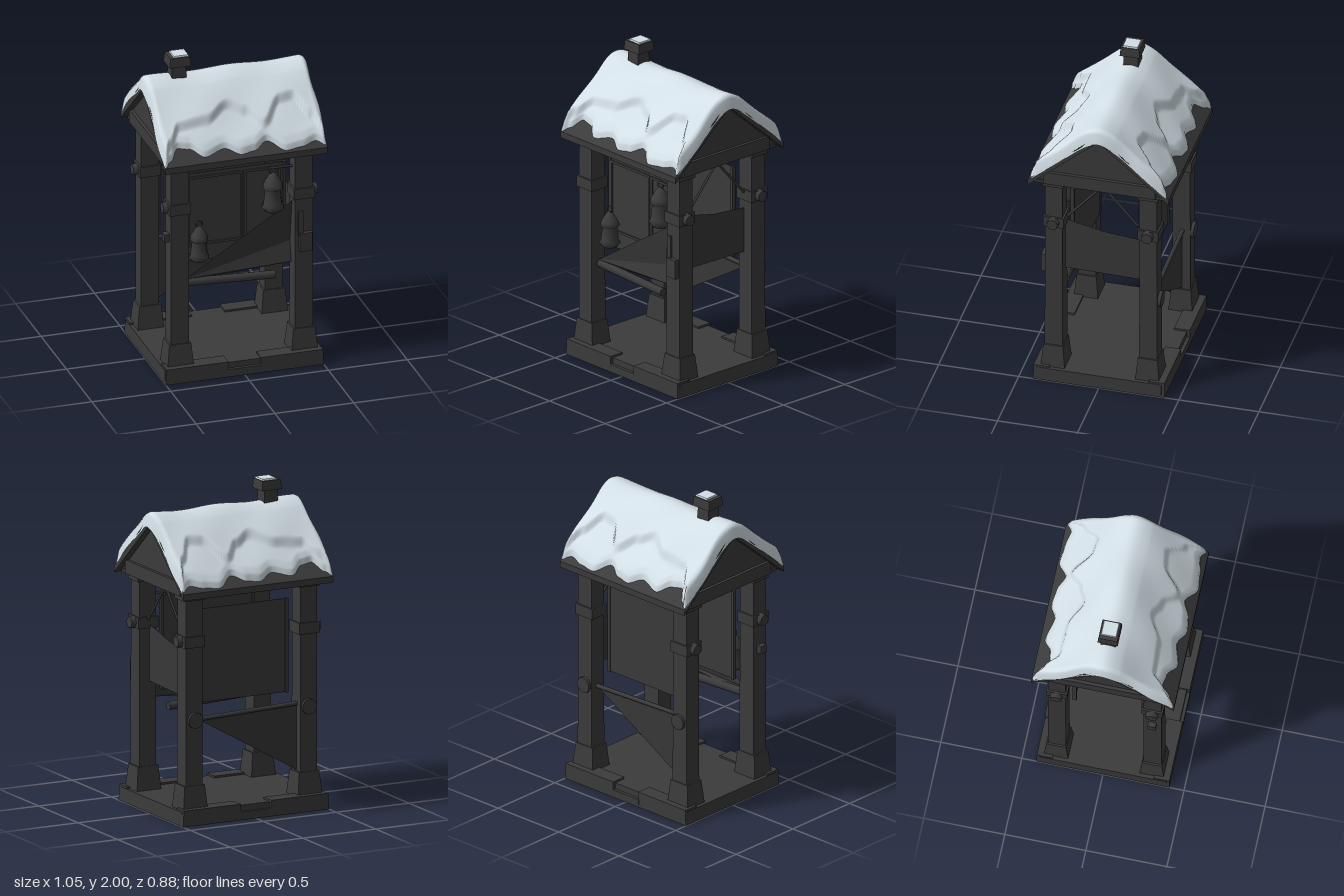
import * as THREE from 'three';

export function createModel() {
  const model = new THREE.Group();
  const wood = new THREE.MeshStandardMaterial({ color: 0x3b3b3b });
  wood.name = 'darkWood';
  const cloth = new THREE.MeshStandardMaterial({ color: 0x383838, side: THREE.DoubleSide });
  cloth.name = 'darkCloth';
  const snow = new THREE.MeshStandardMaterial({ color: 0xd3dfe6, side: THREE.DoubleSide });
  snow.name = 'snow';

  function add(name, geo, mat = wood, x = 0, y = 0, z = 0) {
    const m = new THREE.Mesh(geo, mat);
    m.name = name;
    m.position.set(x, y, z);
    model.add(m);
    return m;
  }
  const box = (name, w, h, d, x, y, z) => add(name, new THREE.BoxGeometry(w, h, d), wood, x, y, z);

  // box whose top is scaled inwards
  function taperBox(w, h, d, k) {
    const g = new THREE.BoxGeometry(w, h, d);
    const p = g.attributes.position;
    for (let i = 0; i < p.count; i++) {
      if (p.getY(i) > 0) { p.setX(i, p.getX(i) * k); p.setZ(i, p.getZ(i) * k); }
    }
    g.computeVertexNormals();
    return g;
  }

  // straight round bar between two points
  function bar(name, a, b, r, sides = 8) {
    const A = new THREE.Vector3(...a), B = new THREE.Vector3(...b);
    const m = add(name, new THREE.CylinderGeometry(r, r, A.distanceTo(B), sides));
    m.position.copy(A).add(B).multiplyScalar(0.5);
    m.quaternion.setFromUnitVectors(new THREE.Vector3(0, 1, 0), B.sub(A).normalize());
  }

  // cloth made as a fan of triangles
  function sheet(name, pts) {
    const v = [];
    for (let i = 1; i < pts.length - 1; i++) v.push(...pts[0], ...pts[i], ...pts[i + 1]);
    const g = new THREE.BufferGeometry();
    g.setAttribute('position', new THREE.Float32BufferAttribute(v, 3));
    g.computeVertexNormals();
    add(name, g, cloth);
  }

  // base with a shallow notch in the front and back edge
  box('baseSlab', 1, 0.088, 0.78, 0, 0.044, 0);
  for (const sz of [-1, 1]) {
    box('baseNotch', 0.22, 0.05, 0.05, 0, 0.025, sz * 0.385);
    for (const sx of [-1, 1]) add('baseEdge', taperBox(0.4, 0.1, 0.1, 0.98), wood, sx * 0.3, 0.05, sz * 0.36);
  }

  // four posts with feet, bands and caps
  for (const sx of [-1, 1]) for (const sz of [-1, 1]) {
    const x = sx * 0.393, z = sz * 0.295;
    add('post', taperBox(0.116, 1.34, 0.112, 0.96), wood, x, 0.75, z);
    add('postFoot', taperBox(0.168, 0.15, 0.15, 0.82), wood, x, 0.16, z);
    box('postCap', 0.14, 0.035, 0.13, x, 1.4, z);
    box('postBand', 0.135, 0.07, 0.13, x, 1.125, z);
    const stud = add('postStud', new THREE.CylinderGeometry(0.035, 0.04, 0.04, 8), wood, sx * 0.47, 1.125, z);
    stud.rotation.z = -sx * Math.PI / 2;
  }
  for (const sx of [-1, 1]) {
    const knob = add('railKnob', new THREE.CylinderGeometry(0.05, 0.05, 0.03, 10), wood, sx * 0.39, 0.64, -0.355);
    knob.rotation.x = Math.PI / 2;
  }
  box('postTag', 0.08, 0.12, 0.03, 0.4, 0.81, 0.362);
  box('postTagStrap', 0.03, 0.16, 0.02, 0.37, 0.93, 0.355);
  box('postPeg', 0.05, 0.05, 0.05, -0.457, 0.93, 0.295);

  // roof slabs, ceiling and filled gables
  const roofShape = new THREE.Shape([[-0.44, 1.41], [-0.44, 1.45], [0, 1.84], [0.44, 1.45], [0.44, 1.41], [0, 1.79]]
    .map(p => new THREE.Vector2(...p)));
  const roofGeo = new THREE.ExtrudeGeometry(roofShape, { depth: 1.03, bevelEnabled: false });
  roofGeo.rotateY(Math.PI / 2);
  add('roof', roofGeo, wood, -0.515, 0, 0);
  box('ceiling', 0.96, 0.02, 0.82, 0, 1.425, 0);
  const gableShape = new THREE.Shape([[-0.43, 1.425], [0.43, 1.425], [0, 1.81]].map(p => new THREE.Vector2(...p)));
  for (const sx of [-1, 1]) {
    const g = new THREE.ExtrudeGeometry(gableShape, { depth: 0.03, bevelEnabled: false });
    g.rotateY(Math.PI / 2);
    add('gable', g, wood, sx * 0.455 - 0.015, 0, 0);
    box('gableBeam', 0.05, 0.085, 0.7, sx * 0.465, 1.46, 0);
  }

  // snow: lower edge and thick upper drift, given as (x, distance from ridge)
  const edge = [[-0.52, 0.44], [-0.47, 0.41], [-0.41, 0.35], [-0.34, 0.36], [-0.25, 0.41], [-0.12, 0.38], [-0.02, 0.42],
    [0.06, 0.41], [0.15, 0.37], [0.26, 0.43], [0.36, 0.42], [0.45, 0.4], [0.52, 0.43]];
  const drift = [[-0.52, 0.44], [-0.46, 0.36], [-0.38, 0.28], [-0.2, 0.27], [-0.05, 0.2], [0.05, 0.24], [0.15, 0.32],
    [0.28, 0.21], [0.36, 0.2], [0.45, 0.3], [0.52, 0.42]];
  function along(table, x) {
    let i = 0;
    while (i < table.length - 2 && x > table[i + 1][0]) i++;
    const [x0, a] = table[i], [x1, b] = table[i + 1];
    const t = THREE.MathUtils.clamp((x - x0) / (x1 - x0), 0, 1);
    return a + (b - a) * t * t * (3 - 2 * t);
  }
  const NX = 90, NV = 90, pos = [], idx = [];
  for (let i = 0; i <= NX; i++) for (let j = 0; j <= NV; j++) {
    const u = i / NX * 2 - 1, v = j / NV * 2 - 1, w = Math.abs(v);
    const x0 = u * 0.521, z = v * along(edge, x0), d = Math.abs(z), rim = along(drift, x0);
    const step = 1 - THREE.MathUtils.smoothstep(d, rim - 0.02, rim + 0.016);
    let t = 0.022 + 0.03 * step + 0.006 * Math.sin(x0 * 13 + 1) * Math.cos(d * 14);
    t *= Math.min(1, Math.sqrt(Math.max(0, (1 - w) * 9)));
    t *= Math.min(1, Math.sqrt(Math.max(0, (1 - Math.abs(u)) * 18)));
    const round = Math.sqrt(d * d + 0.004) - 0.02;
    const y = 1.842 - 0.887 * round + t * 1.15 - (w === 1 || Math.abs(u) === 1 ? 0.024 : 0);
    const wave = Math.abs(u) > 0.95 ? 0.005 * Math.sin(z * 22 + u * 2) : 0;
    pos.push(x0 + wave, y, z + Math.sign(z) * t * 0.35 * Math.min(1, d * 12));
    if (i < NX && j < NV) {
      const a = i * (NV + 1) + j, b = a + NV + 1;
      idx.push(a, a + 1, b, b, a + 1, b + 1);
    }
  }
  const snowGeo = new THREE.BufferGeometry();
  snowGeo.setAttribute('position', new THREE.Float32BufferAttribute(pos, 3));
  snowGeo.setIndex(idx);
  snowGeo.computeVertexNormals();
  add('roofSnow', snowGeo, snow);

  // chimney
  add('chimneyShaft', taperBox(0.1, 0.18, 0.1, 0.85), wood, -0.3, 1.86, 0);
  add('chimneyCap', taperBox(0.135, 0.06, 0.125, 0.92), wood, -0.297, 1.96, 0);
  add('chimneySnow', taperBox(0.1, 0.018, 0.1, 0.9), snow, -0.287, 1.991, 0);

  // thin boards at the front and back
  for (const s of [-1, 1]) {
    box(s > 0 ? 'frontBoard' : 'backBoard', 0.63, 0.58, 0.008, 0, 1.0, s * 0.213);
    for (const sx of [-1, 1]) box('boardStile', 0.018, 0.585, 0.024, sx * 0.312, 1.0, s * 0.213);
  }
  for (const [cx, w] of [[-0.13, 0.34], [0.17, 0.22]]) {
    for (const s of [-1, 1]) {
      box('boardFrameSide', 0.015, 0.45, 0.012, cx + s * w / 2, 1.04, 0.22);
      box('boardFrameRail', w, 0.015, 0.012, cx, 1.04 + s * 0.22, 0.22);
    }
  }

  // cloths tied between the posts
  sheet('frontCloth', [[-0.34, 0.63, 0.29], [-0.1, 0.62, 0.27], [0.34, 0.65, 0.28], [0.34, 0.78, 0.25], [0.34, 1.06, 0.29]]);
  sheet('backCloth', [[-0.34, 0.24, -0.3], [-0.34, 0.66, -0.3], [0.34, 0.63, -0.3]]);
  sheet('sideCloth', [[0.38, 0.76, 0.25], [0.38, 0.75, -0.25], [0.38, 1.035, -0.25], [0.38, 1.06, 0], [0.38, 1.115, 0.25]]);
  bar('frontRoll', [-0.34, 0.605, 0.28], [0.23, 0.58, 0.28], 0.027);
  bar('backRail', [-0.36, 0.655, -0.3], [0.36, 0.63, -0.3], 0.014);

  // rope pair under the gable
  for (const s of [-1, 1]) bar('rope', [0.4, 1.4, 0], [0.4, 1.15, s * 0.22], 0.008, 6);
  add('ropeHook', new THREE.TorusGeometry(0.018, 0.006, 6, 10), wood, 0.4, 1.395, 0).rotation.y = Math.PI / 2;

  // hanging lantern and a smaller one standing by the board
  function lantern(x, y, z, s) {
    const profile = [[0, 0], [0.05, 0], [0.072, 0.025], [0.06, 0.05], [0.05, 0.14], [0.065, 0.15], [0.06, 0.18], [0.03, 0.23], [0.012, 0.25], [0, 0.25]]
      .map(([r, h]) => new THREE.Vector2(r * s, h * s));
    add('lantern', new THREE.LatheGeometry(profile, 8), wood, x, y, z);
    add('lanternRing', new THREE.TorusGeometry(0.022 * s, 0.006 * s, 6, 10), wood, x, y + 0.265 * s, z);
  }
  lantern(0.215, 1.01, 0.29, 1);
  bar('lanternArm', [0.35, 1.29, 0.29], [0.2, 1.29, 0.29], 0.008, 6);
  lantern(-0.25, 0.74, 0.28, 0.9);
  return model;
}
